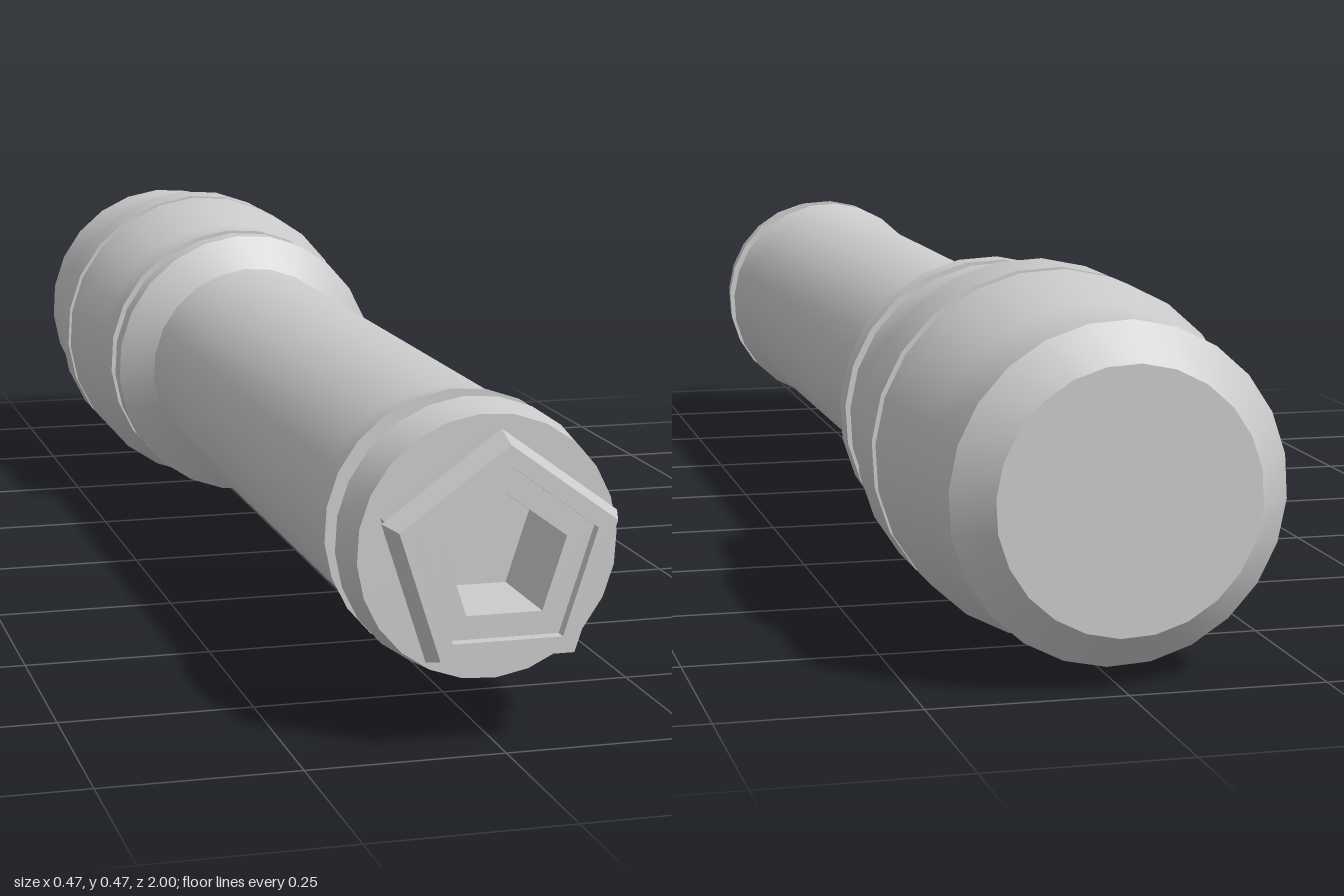
import * as THREE from 'three';
import { toCreasedNormals } from 'three/addons/utils/BufferGeometryUtils.js';

const AXIS_Y = 0.235;
const material = new THREE.MeshStandardMaterial({ color: 0xcccccc });

// Turned part along z; profile is [radius, z] pairs running from back to front.
function turned(name, profile, sides, startDegrees) {
  const points = profile.map(([r, z]) => new THREE.Vector2(r, z));
  let geometry = new THREE.LatheGeometry(points, sides, THREE.MathUtils.degToRad(startDegrees));
  geometry.rotateX(Math.PI / 2);
  // Scaled up while creasing so that close vertices stay distinct.
  geometry.scale(100, 100, 100);
  geometry = toCreasedNormals(geometry, Math.PI / 6);
  geometry.scale(0.01, 0.01, 0.01);
  const mesh = new THREE.Mesh(geometry, material);
  mesh.name = name;
  mesh.position.y = AXIS_Y;
  return mesh;
}

export function createModel() {
  const model = new THREE.Group();
  model.name = 'handle';

  const round = (name, profile) => model.add(turned(name, profile, 24, 94));
  const pentagon = (name, profile) => model.add(turned(name, profile, 5, 180));

  // Wide grip with bevelled pommel, two bulges and a groove between them
  round('grip', [
    [0, -1], [0.165, -1], [0.211, -0.955], [0.211, -0.82], [0.235, -0.73],
    [0.235, -0.662], [0.222, -0.662], [0.222, -0.64], [0.235, -0.64],
    [0.235, -0.545], [0.211, -0.46], [0.211, -0.39], [0.185, -0.39],
  ]);

  // Collar between grip and shaft, with its groove
  round('collar', [
    [0.185, -0.39], [0.185, -0.357], [0.211, -0.357], [0.211, -0.32], [0.163, -0.277],
  ]);

  // Long shaft flaring slightly at the front
  round('shaft', [
    [0.163, -0.277], [0.163, 0.74], [0.174, 0.808], [0.143, 0.808],
  ]);

  // Tapered end ring; its face stays open behind the socket
  round('endRing', [
    [0.143, 0.808], [0.143, 0.856], [0.174, 0.856], [0.165, 0.922], [0.09, 0.922],
  ]);

  // Five-sided neck, groove, tapered rim and stepped hole
  pentagon('socket', [
    [0.143, 0.922], [0.143, 0.952], [0.12, 0.952], [0.12, 0.965],
    [0.155, 0.965], [0.1425, 1], [0.117, 1], [0.117, 0.985],
    [0.081, 0.985], [0.081, 0.85], [0, 0.85],
  ]);

  return model;
}
